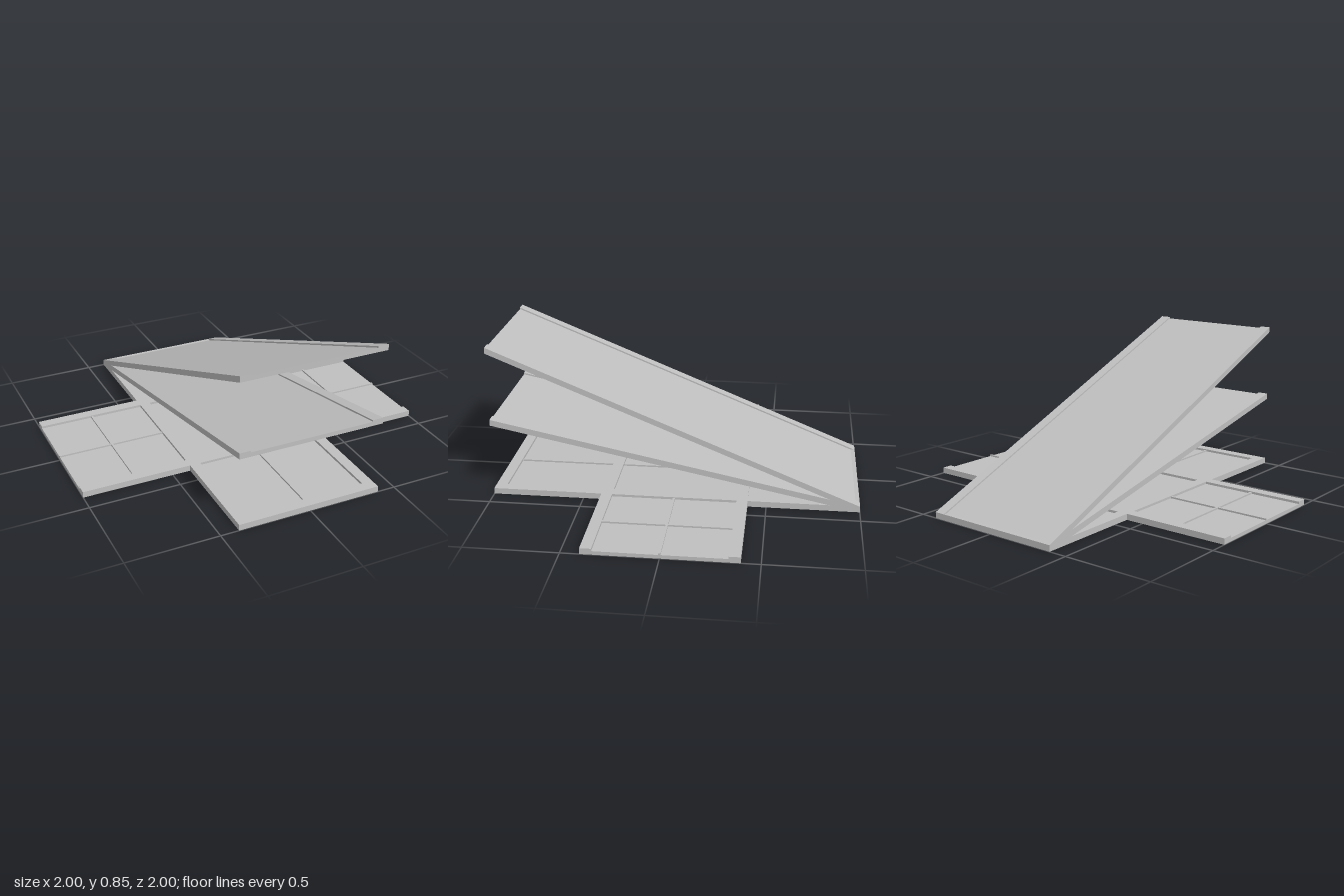
import * as THREE from 'three';

const grey = new THREE.MeshStandardMaterial({ color: 0xbfbfbf });
grey.name = 'grey';

const H = 0.033;        // plank thickness
const FLOOR = 0.02;     // sunken panel height of the base

// Box given by its limits; slope lifts it towards the front as a shear
function block(name, [x0, x1], [y0, y1], [z0, z1], slope = 0) {
  const g = new THREE.BoxGeometry(x1 - x0, y1 - y0, z1 - z0);
  g.translate((x0 + x1) / 2, (y0 + y1) / 2, (z0 + z1) / 2);
  const p = g.attributes.position;
  for (let i = 0; i < p.count; i++) p.setY(i, p.getY(i) + slope * (p.getZ(i) + 1));
  g.computeVertexNormals();
  const m = new THREE.Mesh(g, grey);
  m.name = name;
  return m;
}

// Cross-shaped tray with raised rails and thin dividers
function createBase() {
  const base = new THREE.Group();
  base.name = 'crossBase';
  const rail = [FLOOR, H], rib = [FLOOR, 0.029], t = 0.006;
  base.add(block('longFloor', [-0.4, 0.4], [0, FLOOR], [-1, 1]));
  base.add(block('centreDivider', [-t, t], rib, [-0.94, 0.94]));
  for (const s of [-1, 1]) {
    const span = (a, b) => (s > 0 ? [a, b] : [-b, -a]);
    base.add(block('sideFloor', span(0.4, 1), [0, FLOOR], [-0.4, 0.4]));
    base.add(block('longRail', span(0.34, 0.4), rail, [-1, 1]));
    base.add(block('endRail', [-0.34, 0.34], rail, span(0.94, 1)));
    base.add(block('innerCrossRail', [-0.34, 0.34], rail, span(0.34, 0.4)));
    for (const e of [-1, 1])
      base.add(block('sideRail', span(0.4, 1), rail, e > 0 ? [0.34, 0.4] : [-0.4, -0.34]));
    base.add(block('sideDivider', span(0.4, 1), rib, [-t, t]));
    base.add(block('sideCrossDivider', span(0.7 - t, 0.7 + t), rib, [-0.34, 0.34]));
  }
  return base;
}

// Sloping hollow plank: thin skin, raised edge rails, ribs underneath
function createRamp(name, slope) {
  const ramp = new THREE.Group();
  ramp.name = name;
  const add = (n, x, y, z) => ramp.add(block(n, x, y, z, slope));
  const deck = 0.024, skin = 0.005, wall = 0.006, all = [-1, 1];
  add('deck', [-0.34, 0.34], [deck - skin, deck], all);
  add('centreRib', [-0.004, 0.004], [0, deck - skin], all);
  for (const s of [-1, 1]) {
    const span = (a, b) => (s > 0 ? [a, b] : [-b, -a]);
    add('edgeRailTop', span(0.34, 0.4), [H - skin, H], all);
    add('edgeRailInnerWall', span(0.34, 0.34 + wall), [deck - skin, H - skin], all);
    add('sideWall', span(0.4 - wall, 0.4), [0, H - skin], all);
  }
  // cross ribs, the first and last closing the ends
  for (let i = 0; i <= 8; i++) {
    const z = THREE.MathUtils.clamp(-1 + i * 0.25, -1 + wall, 1 - wall);
    const depth = [z - wall, z + wall];
    add('crossRib', [-0.34, 0.34], [0, deck - skin], depth);
    add('leftCrossRib', [0.34, 0.4 - wall], [0, H - skin], depth);
    add('rightCrossRib', [-0.4 + wall, -0.34], [0, H - skin], depth);
  }
  return ramp;
}

export function createModel() {
  const model = new THREE.Group();
  model.name = 'foldingPanels';
  model.add(createBase(), createRamp('lowerRamp', 0.204), createRamp('upperRamp', 0.409));
  return model;
}
